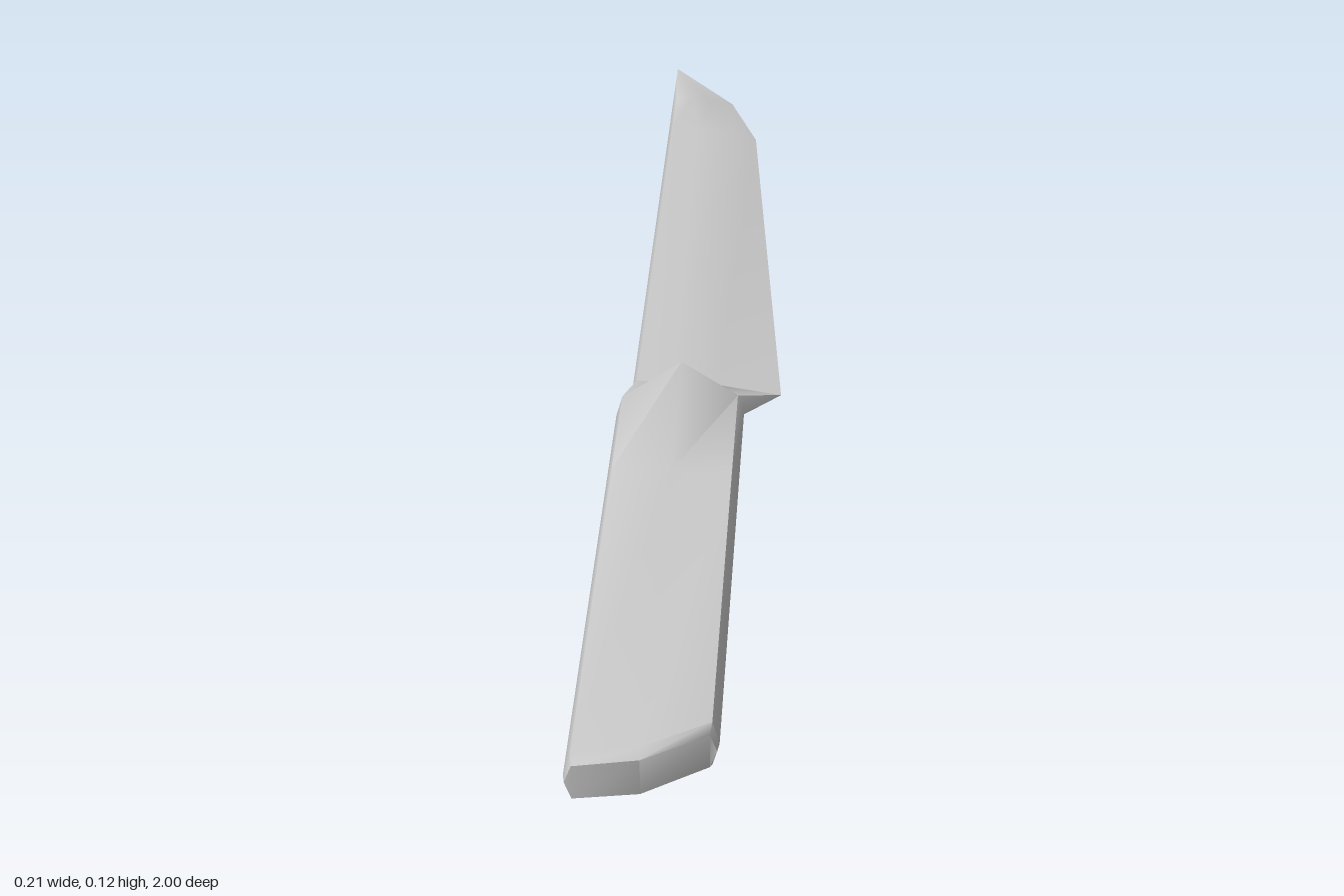
import * as THREE from 'three';
import { toCreasedNormals } from 'three/addons/utils/BufferGeometryUtils.js';

const CY = 0.061; // height of the knife's centre plane

// Eight-point section, symmetric in y, from five [x, halfThickness, z] points
// running from the spine side (-x) over the top to the edge side (+x).
function section(points) {
  const top = points.map(([x, t, z]) => [x, CY + t, z]);
  const bottom = points.slice(1, 4).reverse().map(([x, t, z]) => [x, CY - t, z]);
  return [...top, ...bottom];
}

// Skins sections ordered from -z to +z, optionally closing the +z end.
function loft(sections, capEnd, crease) {
  const n = 8;
  const positions = sections.flat(2);
  const index = [];
  for (let i = 0; i < sections.length - 1; i++) {
    for (let j = 0; j < n; j++) {
      const a = i * n + j, b = i * n + (j + 1) % n;
      index.push(a, a + n, b, b, a + n, b + n);
    }
  }
  if (capEnd) {
    const o = (sections.length - 1) * n;
    // strips across the end, joining each top point to its mirrored bottom point
    index.push(o, o + 7, o + 1, o + 3, o + 5, o + 4);
    index.push(o + 1, o + 7, o + 2, o + 2, o + 7, o + 6);
    index.push(o + 2, o + 6, o + 3, o + 3, o + 6, o + 5);
  }
  const geometry = new THREE.BufferGeometry();
  geometry.setAttribute('position', new THREE.Float32BufferAttribute(positions, 3));
  geometry.setIndex(index);
  return toCreasedNormals(geometry, crease);
}

// Blade section: blunt spine, flat sides, bevel running out to the edge.
function bladeSection(z, edgeX, bevelX, half, spineX = -0.092) {
  return section([
    [spineX, 0, z],
    [spineX + Math.min(0.006, (bevelX - spineX) / 3), half, z],
    [(spineX + bevelX) / 2, half, z],
    [bevelX, half * 0.8, z],
    [edgeX, 0, z],
  ]);
}

// Handle section: flat oval; sides and middle can sit at different z.
function handleSection(zLeft, zMid, zRight, half, midHalf, inset = 0) {
  return section([
    [-0.108 + inset, 0, zLeft],
    [-0.1 + inset, half, zLeft],
    [-0.025, midHalf, zMid],
    [0.05 - inset, half, zRight],
    [0.058 - inset, 0, zRight],
  ]);
}

export function createModel() {
  const group = new THREE.Group();
  const material = new THREE.MeshStandardMaterial({ color: 0xcccccc, side: THREE.DoubleSide });
  const add = (name, geometry) => {
    const mesh = new THREE.Mesh(geometry, material);
    mesh.name = name;
    group.add(mesh);
  };

  // Blade, from the point back to the heel
  const heel = bladeSection(0.115, 0.105, 0.02, 0.017);
  add('blade', loft([
    bladeSection(-1, -0.09, -0.0905, 0.0005),
    bladeSection(-0.86, 0.003, -0.035, 0.009),
    bladeSection(-0.72, 0.045, 0.005, 0.016),
    heel,
  ], false, 1.2));

  // Handle, from the flared guard back to the slanted butt
  add('handle', loft([
    heel,
    handleSection(0.18, 0.142, 0.17, 0.028, 0.061),
    handleSection(0.37, 0.37, 0.37, 0.028, 0.029),
    handleSection(0.985, 0.972, 0.92, 0.028, 0.029),
    handleSection(1, 0.987, 0.935, 0.021, 0.022, 0.002),
  ], true, 1.0));

  return group;
}
